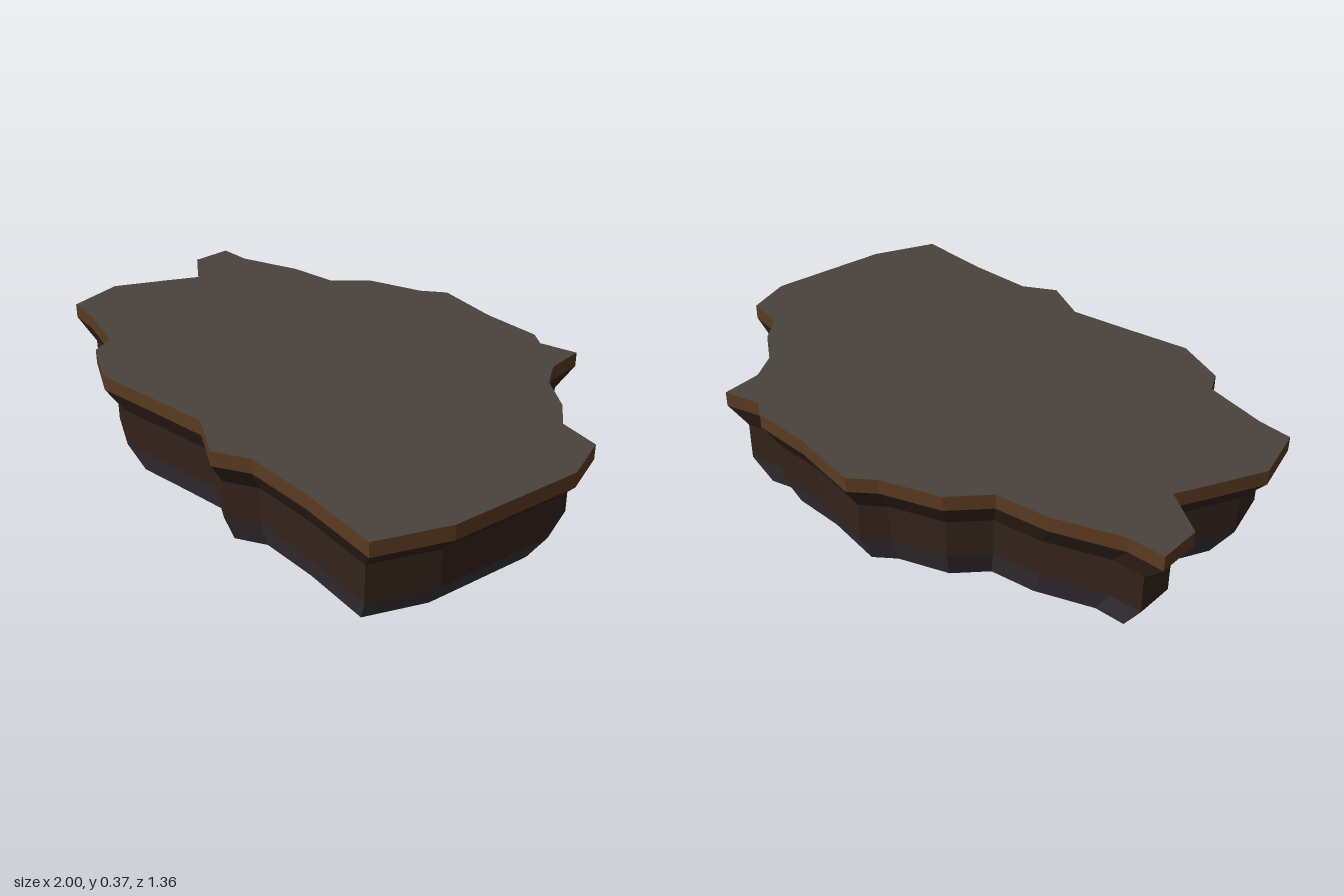
import * as THREE from 'three';

// Ragged outline of the top edge as [x, z], running left, back, right, front
const OUTLINE = [
  [-1, -0.355], [-0.88, -0.355], [-0.66, -0.43], [-0.48, -0.45], [-0.375, -0.56],
  [-0.18, -0.625], [-0.1, -0.685], [0.14, -0.64], [0.355, -0.63], [0.41, -0.59],
  [0.54, -0.62], [0.55, -0.48], [0.61, -0.38], [0.73, -0.29], [0.805, -0.195],
  [0.945, -0.165], [1, 0], [0.94, 0.44], [0.84, 0.66], [0.56, 0.625],
  [0.32, 0.615], [0.205, 0.675], [0.045, 0.585], [-0.17, 0.605], [-0.405, 0.63],
  [-0.585, 0.54], [-0.62, 0.46], [-0.84, 0.395], [-0.955, 0.38], [-1, 0.18],
  [-0.91, 0], [-0.855, -0.105], [-1, -0.21],
];

// Bands from bottom to top: each joins two scaled copies of the outline
const BANDS = [
  { name: 'stoneBase', y: [0, 0.105], scale: [0.855, 0.925], color: 0x3a3438 },
  { name: 'earthWall', y: [0.105, 0.235], scale: [0.925, 0.925], color: 0x33231a },
  { name: 'overhang', y: [0.235, 0.315], scale: [0.925, 1], color: 0x33231a },
  { name: 'rim', y: [0.315, 0.365], scale: [1, 1], color: 0x5a3a20 },
];

function part(name, geometry, color) {
  const material = new THREE.MeshStandardMaterial({ color, flatShading: true });
  const mesh = new THREE.Mesh(geometry, material);
  mesh.name = name;
  return mesh;
}

// Ring of quads between two levels
function bandGeometry({ y, scale }) {
  const positions = [];
  const index = [];
  const n = OUTLINE.length;
  for (let level = 0; level < 2; level++) {
    for (const [x, z] of OUTLINE) positions.push(x * scale[level], y[level], z * scale[level]);
  }
  for (let i = 0; i < n; i++) {
    const j = (i + 1) % n;
    index.push(i, n + i, n + j, i, n + j, j);
  }
  const indexed = new THREE.BufferGeometry();
  indexed.setAttribute('position', new THREE.Float32BufferAttribute(positions, 3));
  indexed.setIndex(index);
  const geometry = indexed.toNonIndexed();
  geometry.computeVertexNormals();
  return geometry;
}

// Flat cap facing up (side = 1) or down (side = -1)
function capGeometry(y, scale, side) {
  const points = OUTLINE.map(([x, z]) => new THREE.Vector2(x * scale, -side * z * scale));
  return new THREE.ShapeGeometry(new THREE.Shape(points))
    .rotateX(-side * Math.PI / 2)
    .translate(0, y, 0);
}

export function createModel() {
  const model = new THREE.Group();
  model.name = 'groundPlatform';
  for (const band of BANDS) model.add(part(band.name, bandGeometry(band), band.color));
  model.add(part('topSurface', capGeometry(0.365, 1, 1), 0x48433c));
  model.add(part('underside', capGeometry(0, 0.855, -1), 0x3a3438));
  return model;
}
